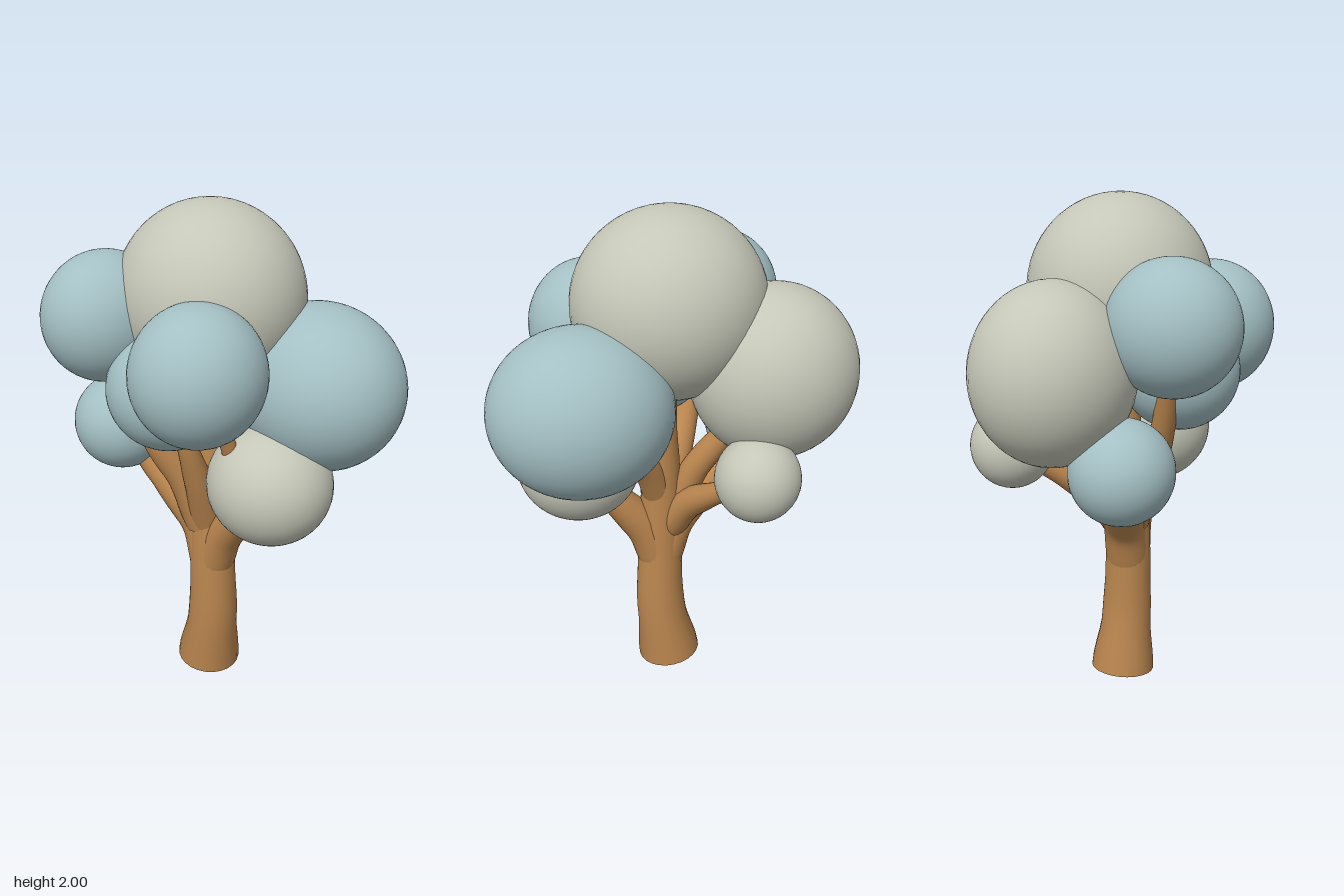
import * as THREE from 'three';

const wood = new THREE.MeshStandardMaterial({ color: 0xbd8850 });
wood.name = 'warm wood';
const blue = new THREE.MeshStandardMaterial({ color: 0xa4c0c4 });
blue.name = 'pale blue foliage';
const beige = new THREE.MeshStandardMaterial({ color: 0xc5c7b8 });
beige.name = 'pale grey foliage';

// Tapering tube through points, its radius eased along the length
function limb(name, points, radii) {
  const curve = new THREE.CatmullRomCurve3(points.map(p => new THREE.Vector3(...p)));
  const steps = 28, sides = 24;
  const geo = new THREE.TubeGeometry(curve, steps, 1, sides, false);
  const pos = geo.attributes.position;
  const v = new THREE.Vector3();
  for (let i = 0; i <= steps; i++) {
    const centre = curve.getPointAt(i / steps);
    const t = (i / steps) * (radii.length - 1);
    const k = Math.min(Math.floor(t), radii.length - 2);
    const r = THREE.MathUtils.lerp(radii[k], radii[k + 1], THREE.MathUtils.smoothstep(t - k, 0, 1));
    for (let j = 0; j <= sides; j++) {
      const n = i * (sides + 1) + j;
      v.fromBufferAttribute(pos, n).sub(centre).multiplyScalar(r).add(centre);
      pos.setXYZ(n, v.x, v.y, v.z);
    }
  }
  const mesh = new THREE.Mesh(geo, wood);
  mesh.name = name;
  return { mesh, curve };
}

function foliage(name, material, centre, radius) {
  const mesh = new THREE.Mesh(new THREE.SphereGeometry(1, 48, 32), material);
  mesh.name = name;
  mesh.position.set(...centre);
  mesh.scale.set(...radius);
  return mesh;
}

export function createModel() {
  const tree = new THREE.Group();
  tree.name = 'tree';

  // Trunk, flared at the slightly tilted foot and running up into the crown
  const trunk = limb('trunk',
    [[0, 0.018, 0], [0.035, 0.28, 0.005], [0.035, 0.58, 0.01], [0.03, 0.82, 0.005], [0.03, 1.08, 0], [0.02, 1.4, 0]],
    [0.131, 0.103, 0.094, 0.09, 0.075, 0.06, 0.05]);
  tree.add(trunk.mesh);

  // Flat underside of the trunk
  const foot = new THREE.Mesh(new THREE.CircleGeometry(0.131, 24), wood);
  foot.name = 'trunkUnderside';
  foot.position.copy(trunk.curve.getPointAt(0));
  foot.quaternion.setFromUnitVectors(new THREE.Vector3(0, 0, 1), trunk.curve.getTangentAt(0).negate());
  tree.add(foot);

  // Branches, each ending inside a ball of foliage
  const branches = [
    ['lowerRightBranch', [[0.03, 0.52, 0.01], [-0.03, 0.68, 0.02], [-0.17, 0.82, 0.07], [-0.36, 1.02, 0.14]], [0.088, 0.082, 0.062, 0.04]],
    ['lowerLeftBranch', [[0.04, 0.52, 0.01], [0.1, 0.66, 0.005], [0.2, 0.79, 0], [0.36, 0.98, 0]], [0.088, 0.078, 0.062, 0.045]],
    ['upperRightFrontBranch', [[0.01, 0.7, 0.03], [-0.04, 0.9, 0.1], [-0.11, 1.1, 0.2], [-0.22, 1.45, 0.28]], [0.08, 0.062, 0.045, 0.03]],
    ['frontBranch', [[0.03, 0.72, 0.03], [0.055, 0.92, 0.1], [0.06, 1.1, 0.16], [0.04, 1.3, 0.21]], [0.075, 0.056, 0.04, 0.03]],
    ['upperLeftFrontBranch', [[0.2, 0.8, 0.01], [0.27, 0.98, 0.08], [0.295, 1.19, 0.155], [0.28, 1.4, 0.24]], [0.05, 0.042, 0.03, 0.024]],
    ['farRightBranch', [[-0.04, 0.78, 0], [-0.1, 0.94, -0.03], [-0.2, 1.1, -0.07], [-0.36, 1.35, -0.11]], [0.065, 0.055, 0.045, 0.035]],
    ['backBranch', [[0, 0.68, 0], [-0.07, 0.81, -0.08], [-0.16, 0.92, -0.2], [-0.28, 1.05, -0.34]], [0.075, 0.06, 0.042, 0.03]],
    ['farLeftBranch', [[0.04, 0.82, 0], [0.1, 0.98, -0.06], [0.2, 1.14, -0.14], [0.34, 1.3, -0.23]], [0.065, 0.055, 0.045, 0.035]],
  ];
  for (const [name, points, radii] of branches) tree.add(limb(name, points, radii).mesh);

  // Rounded foliage: name, colour, centre, radii
  const balls = [
    ['topFoliage', beige, [0, 1.638, -0.01], [0.37, 0.362, 0.352]],
    ['farRightFoliage', beige, [-0.38, 1.385, -0.115], [0.325, 0.34, 0.305]],
    ['upperRightFrontFoliage', blue, [-0.255, 1.56, 0.293], [0.23, 0.25, 0.251]],
    ['upperLeftFrontFoliage', blue, [0.27, 1.47, 0.27], [0.245, 0.26, 0.25]],
    ['frontFoliage', blue, [0.035, 1.335, 0.22], [0.235, 0.23, 0.235]],
    ['farLeftFoliage', blue, [0.36, 1.33, -0.237], [0.343, 0.318, 0.31]],
    ['lowerLeftFoliage', beige, [0.36, 0.997, 0], [0.245, 0.232, 0.235]],
    ['lowerRightFoliage', blue, [-0.38, 1.047, 0.15], [0.2, 0.198, 0.197]],
    ['backFoliage', beige, [-0.278, 1.057, -0.345], [0.163, 0.167, 0.163]],
  ];
  for (const ball of balls) tree.add(foliage(...ball));

  return tree;
}
